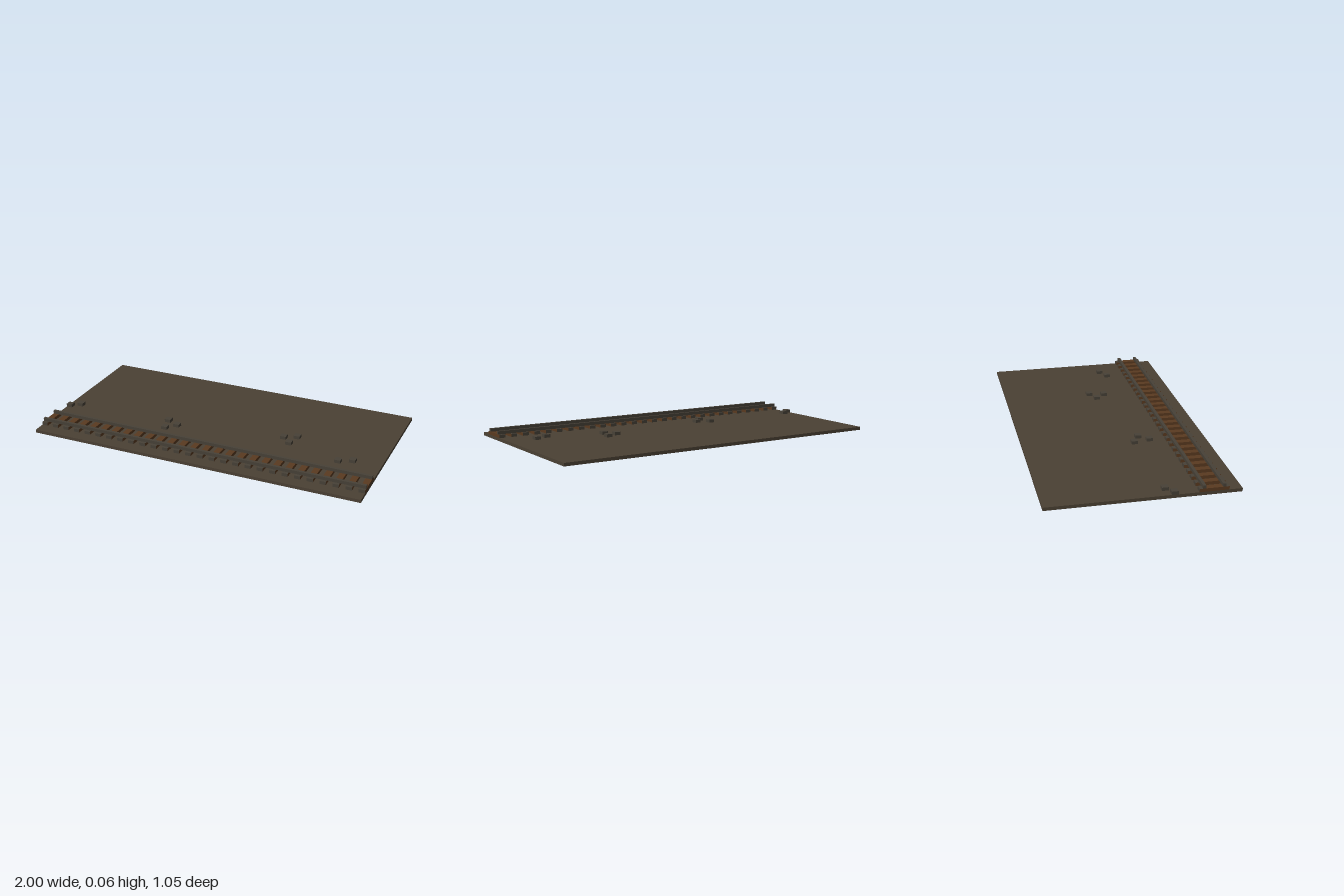
import * as THREE from 'three';

const mat = (name, color) => {
  const m = new THREE.MeshStandardMaterial({ color });
  m.name = name;
  return m;
};

export function createModel() {
  const group = new THREE.Group();
  const earth = mat('earth', 0x4b4134);
  const iron = mat('iron', 0x474137);
  const wood = mat('wood', 0x5a3a20);

  const box = (name, material, [w, h, d], [x, y, z]) => {
    const mesh = new THREE.Mesh(new THREE.BoxGeometry(w, h, d), material);
    mesh.name = name;
    mesh.position.set(x, y + h / 2, z);
    group.add(mesh);
  };

  const step = 0.0185; // height of every layer
  const trackZ = 0.374;

  // Ground slab
  box('ground', earth, [2, step, 1.054], [0, 0, 0]);

  // Sleepers: wooden middle, with darkened outer ends that keep wooden sides
  const endFaces = [wood, wood, iron, iron, iron, iron];
  const count = 28;
  for (let i = 0; i < count; i++) {
    const x = -0.982 + (1.964 * i) / (count - 1);
    box('sleeper', wood, [0.036, step, 0.126], [x, step, trackZ]);
    for (const side of [-1, 1]) {
      box('sleeperEnd', endFaces, [0.036, step, 0.018], [x, step, trackZ + side * 0.072]);
    }
  }

  // Rails
  for (const side of [-1, 1]) {
    box('rail', iron, [2, step, 0.017], [0, step * 2, trackZ + side * 0.0545]);
  }

  // Scattered stones
  const stones = [
    [-0.982, 0.163], [-0.928, 0.125], [-0.33, 0.108], [-0.255, 0.146], [-0.308, 0.201],
    [0.382, 0.035], [0.454, 0], [0.435, 0.09], [0.761, 0.181], [0.836, 0.146],
  ];
  for (const [x, z] of stones) box('stone', iron, [0.036, step, 0.036], [x, step, z]);

  return group;
}
